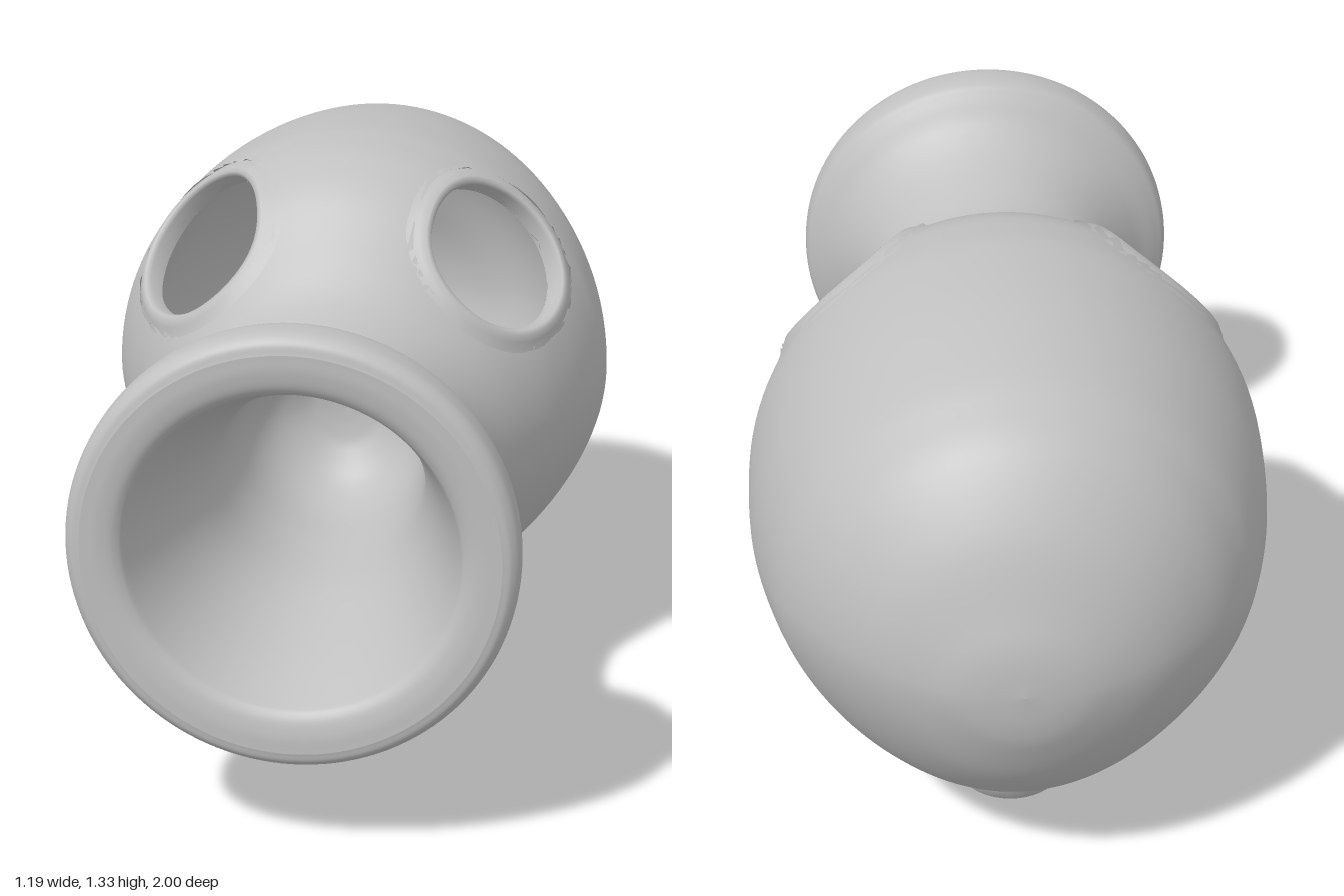
import * as THREE from 'three';

// Cross-section rows: [z, half width, top y, bottom y]
const OUTER = [
  [-1, 0, 0.705, 0.705], [-0.99, 0.1, 0.8, 0.61], [-0.965, 0.185, 0.885, 0.53], [-0.9, 0.312, 1.05, 0.405],
  [-0.8, 0.425, 1.185, 0.285], [-0.7, 0.493, 1.245, 0.2], [-0.6, 0.538, 1.28, 0.145], [-0.4, 0.583, 1.315, 0.095],
  [-0.2, 0.594, 1.328, 0.11], [-0.1, 0.577, 1.323, 0.14], [0, 0.542, 1.305, 0.175], [0.1, 0.49, 1.25, 0.225],
  [0.2, 0.426, 1.145, 0.285], [0.3, 0.366, 1.05, 0.345], [0.4, 0.325, 1.012, 0.395], [0.5, 0.308, 1, 0.425],
  [0.6, 0.305, 1, 0.432], [0.73, 0.335, 1.043, 0.4], [0.82, 0.392, 1.1, 0.33], [0.87, 0.447, 1.165, 0.265],
  [0.9, 0.472, 1.192, 0.233], [0.965, 0.475, 1.195, 0.23], [0.992, 0.46, 1.18, 0.245], [1, 0.44, 1.155, 0.268],
];
// Mouth lip, tapering throat and rounded end
const MOUTH = [
  [1, 0.44, 1.155, 0.268], [0.998, 0.4, 1.115, 0.31], [0.985, 0.365, 1.075, 0.35], [0.95, 0.345, 1.055, 0.37],
  [0.8, 0.295, 1.005, 0.425], [0.6, 0.242, 0.955, 0.475], [0.4, 0.222, 0.935, 0.495], [0.25, 0.205, 0.92, 0.51],
  [0.16, 0.165, 0.88, 0.55], [0.11, 0.1, 0.815, 0.615], [0.095, 0.05, 0.765, 0.665], [0.09, 0, 0.715, 0.715],
];
// Body chamber, closing around the throat
const CHAMBER = [
  [0.4, 0.225, 0.938, 0.492], [0.3, 0.32, 1, 0.395], [0.2, 0.385, 1.1, 0.325], [0.1, 0.45, 1.205, 0.265],
  [0, 0.502, 1.262, 0.215], [-0.2, 0.553, 1.288, 0.15], [-0.4, 0.543, 1.275, 0.135], [-0.6, 0.495, 1.235, 0.19],
  [-0.8, 0.365, 1.12, 0.345], [-0.9, 0.225, 0.935, 0.48], [-0.945, 0.11, 0.815, 0.6], [-0.96, 0, 0.705, 0.705],
];

// Grid of rings of points joined into a closed-around surface
function skin(rings) {
  const n = rings[0].length, pos = [], idx = [];
  rings.forEach(r => r.forEach(p => pos.push(p.x, p.y, p.z)));
  for (let i = 0; i < rings.length - 1; i++) {
    for (let j = 0; j < n; j++) {
      const k = (j + 1) % n, a = i * n + j, b = i * n + k, c = a + n, d = b + n;
      idx.push(a, b, d, a, d, c);
    }
  }
  const g = new THREE.BufferGeometry();
  g.setAttribute('position', new THREE.Float32BufferAttribute(pos, 3));
  g.setIndex(idx);
  g.computeVertexNormals();
  return g;
}

// Smooth loft through the rows; the body's underside is slightly pointed
function loft(rows, steps = 6, sides = 128) {
  const curve = f => new THREE.CatmullRomCurve3(rows.map(f), false, 'catmullrom', 0.5);
  const zw = curve(r => new THREE.Vector3(r[0], r[1], 0));
  const tb = curve(r => new THREE.Vector3(r[2], r[3], 0));
  const count = (rows.length - 1) * steps, rings = [];
  for (let i = 0; i <= count; i++) {
    const a = zw.getPoint(i / count), b = tb.getPoint(i / count), ring = [];
    const mid = (b.x + b.y) / 2, half = (b.x - b.y) / 2;
    const point = 0.3 * (1 - THREE.MathUtils.smoothstep(a.x, -0.1, 0.4));
    for (let j = 0; j < sides; j++) {
      const t = (j / sides) * Math.PI * 2, s = Math.sin(t);
      const y = s < 0 ? s * (1 - point - point * s) : s;
      ring.push(new THREE.Vector3(Math.cos(t) * a.y, mid + y * half, Math.min(a.x, 1)));
    }
    rings.push(ring);
  }
  return skin(rings);
}

// Opening: a centre, an outward axis and two vectors across it
function opening(center, normal) {
  const n = normal.normalize();
  const u = new THREE.Vector3(0, 1, 0.01).cross(n).normalize();
  return { c: center, n, u, v: n.clone().cross(u) };
}

const place = (o, angle, radius, height) => o.c.clone()
  .addScaledVector(o.u, Math.cos(angle) * radius)
  .addScaledVector(o.v, Math.sin(angle) * radius)
  .addScaledVector(o.n, height);

// Height of a shell along the opening's axis
function heightOn(mesh, o, angle, radius) {
  const ray = new THREE.Raycaster(place(o, angle, radius, 1), o.n.clone().negate());
  const hit = ray.intersectObject(mesh)[0];
  return hit ? 1 - hit.distance : 0;
}

// Remove faces inside a round opening and pull its edge onto the circle
function cut(geometry, o, radius) {
  const pos = geometry.attributes.position, inside = [], p = new THREE.Vector3();
  for (let i = 0; i < pos.count; i++) {
    p.fromBufferAttribute(pos, i).sub(o.c);
    const h = p.dot(o.n);
    p.addScaledVector(o.n, -h);
    inside[i] = Math.abs(h) < 0.25 && p.length() < radius;
    if (inside[i]) {
      p.setLength(radius).addScaledVector(o.n, h).add(o.c);
      pos.setXYZ(i, p.x, p.y, p.z);
    }
  }
  const old = geometry.index.array, kept = [];
  for (let i = 0; i < old.length; i += 3) {
    const f = [old[i], old[i + 1], old[i + 2]];
    if (!f.every(k => inside[k])) kept.push(...f);
  }
  geometry.setIndex(kept);
}

// Sweep a [radius, height] profile around an opening
function collar(o, profile, sides = 64) {
  const columns = [];
  for (let j = 0; j < sides; j++) {
    const a = (j / sides) * Math.PI * 2;
    columns.push(profile(a).map(([r, h]) => place(o, a, r, h)));
  }
  return skin(columns[0].map((_, i) => columns.map(col => col[i])));
}

export function createModel() {
  const group = new THREE.Group();
  const clay = new THREE.MeshStandardMaterial({ color: 0xc0c0c0, side: THREE.DoubleSide });
  clay.name = 'grey clay';
  const add = (name, geometry) => {
    const mesh = new THREE.Mesh(geometry, clay);
    mesh.name = name;
    group.add(mesh);
    return mesh;
  };

  // Hollow body with a flared mouth
  const outer = add('outerShell', loft(OUTER));
  const inner = add('innerChamber', loft(CHAMBER));
  add('mouthThroat', loft(MOUTH));
  const cuts = [];

  // Two round side openings with raised lips
  for (const s of [1, -1]) {
    const o = opening(new THREE.Vector3(0.34 * s, 1.09, 0.05), new THREE.Vector3(0.63 * s, 0.45, 0.63));
    const r = 0.178;
    add(s > 0 ? 'leftOpeningLip' : 'rightOpeningLip', collar(o, a => {
      const h = d => heightOn(outer, o, a, r + d);
      return [
        [r + 0.065, h(0.065) - 0.001], [r + 0.05, h(0.05) + 0.001], [r + 0.035, h(0.035) + 0.007],
        [r + 0.02, h(0.02) + 0.012], [r + 0.008, h(0.008) + 0.008], [r, h(0) - 0.006],
        [r, heightOn(inner, o, a, r)],
      ];
    }));
    cuts.push([o, r + 0.045, r]);
  }

  // Short open spout under the body, its end slightly tilted
  const base = opening(new THREE.Vector3(0, 0, -0.4), new THREE.Vector3(0, -1, 0));
  add('spout', collar(base, a => {
    const tip = r => -0.015 + 0.115 * (place(base, a, r, 0).z + 0.4);
    const h = r => heightOn(outer, base, a, r);
    return [
      [0.29, h(0.29) - 0.001], [0.26, h(0.26) + 0.001], [0.23, h(0.23) + 0.002], [0.2, h(0.2) * 0.8 - 0.022],
      [0.172, h(0.172) * 0.4 - 0.06], [0.152, -0.08], [0.138, -0.052], [0.126, -0.025], [0.12, tip(0.12)],
      [0.108, tip(0.108)], [0.1, -0.05], [0.1, heightOn(inner, base, a, 0.1)],
    ];
  }));
  cuts.push([base, 0.24, 0.1]);

  // Pierce both shells
  for (const [o, wide, narrow] of cuts) {
    cut(outer.geometry, o, wide);
    cut(inner.geometry, o, narrow);
  }
  for (const mesh of [outer, inner]) {
    mesh.geometry.computeBoundingSphere();
  }
  return group;
}
